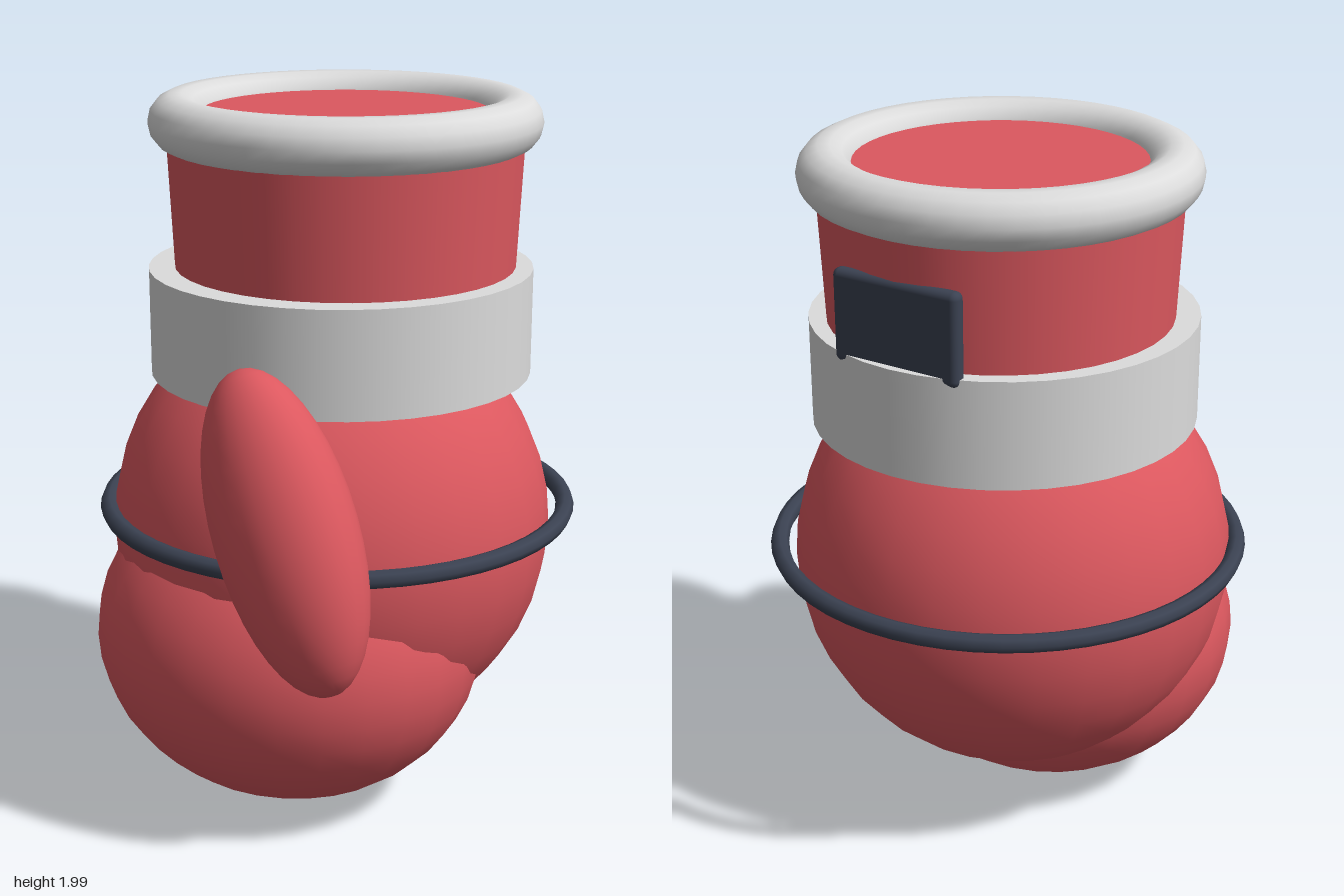
import * as THREE from 'three';
import { RoundedBoxGeometry } from 'three/addons/geometries/RoundedBoxGeometry.js';

const mat = (name, color) => {
  const m = new THREE.MeshStandardMaterial({ color });
  m.name = name;
  return m;
};

export function createModel() {
  const group = new THREE.Group();
  const red = mat('red leather', 0xdc585f);
  const white = mat('white trim', 0xdcdcdc);
  const dark = mat('dark strap', 0x3b4252);

  const add = (name, geometry, material, x, y, z) => {
    const mesh = new THREE.Mesh(geometry, material);
    mesh.name = name;
    mesh.position.set(x, y, z);
    group.add(mesh);
    return mesh;
  };
  const ellipsoid = (rx, ry, rz) => new THREE.SphereGeometry(1, 28, 20).scale(rx, ry, rz);
  const flatRing = (radius, tube, sides, segments) =>
    new THREE.TorusGeometry(radius, tube, sides, segments).rotateX(Math.PI / 2);

  // Padded hand: back of the hand, curled fist and leaning thumb
  add('handBody', ellipsoid(0.635, 0.638, 0.623), red, 0, 0.78, 0);
  add('fist', ellipsoid(0.577, 0.475, 0.53), red, 0, 0.48, 0.18);
  add('thumb', ellipsoid(0.213, 0.445, 0.174), red, 0.32, 0.943, 0.515).rotation.z = 0.382;

  // Wrist cuff, its wide band and the rolled rim
  add('cuff', new THREE.CylinderGeometry(0.5, 0.465, 0.75, 40), red, 0, 1.575, -0.058);
  add('wristBand', new THREE.CylinderGeometry(0.54, 0.54, 0.3, 40), white, 0, 1.37, -0.04);
  add('cuffRim', flatRing(0.469, 0.077, 14, 48), white, 0, 1.923, -0.058);

  // Thin strap around the hand and the closing tab at the back
  add('handStrap', flatRing(0.66, 0.026, 8, 56), dark, 0, 0.83, -0.025);
  add('closureTab', new RoundedBoxGeometry(0.39, 0.255, 0.046, 3, 0.02), dark, 0, 1.622, -0.534);

  return group;
}
